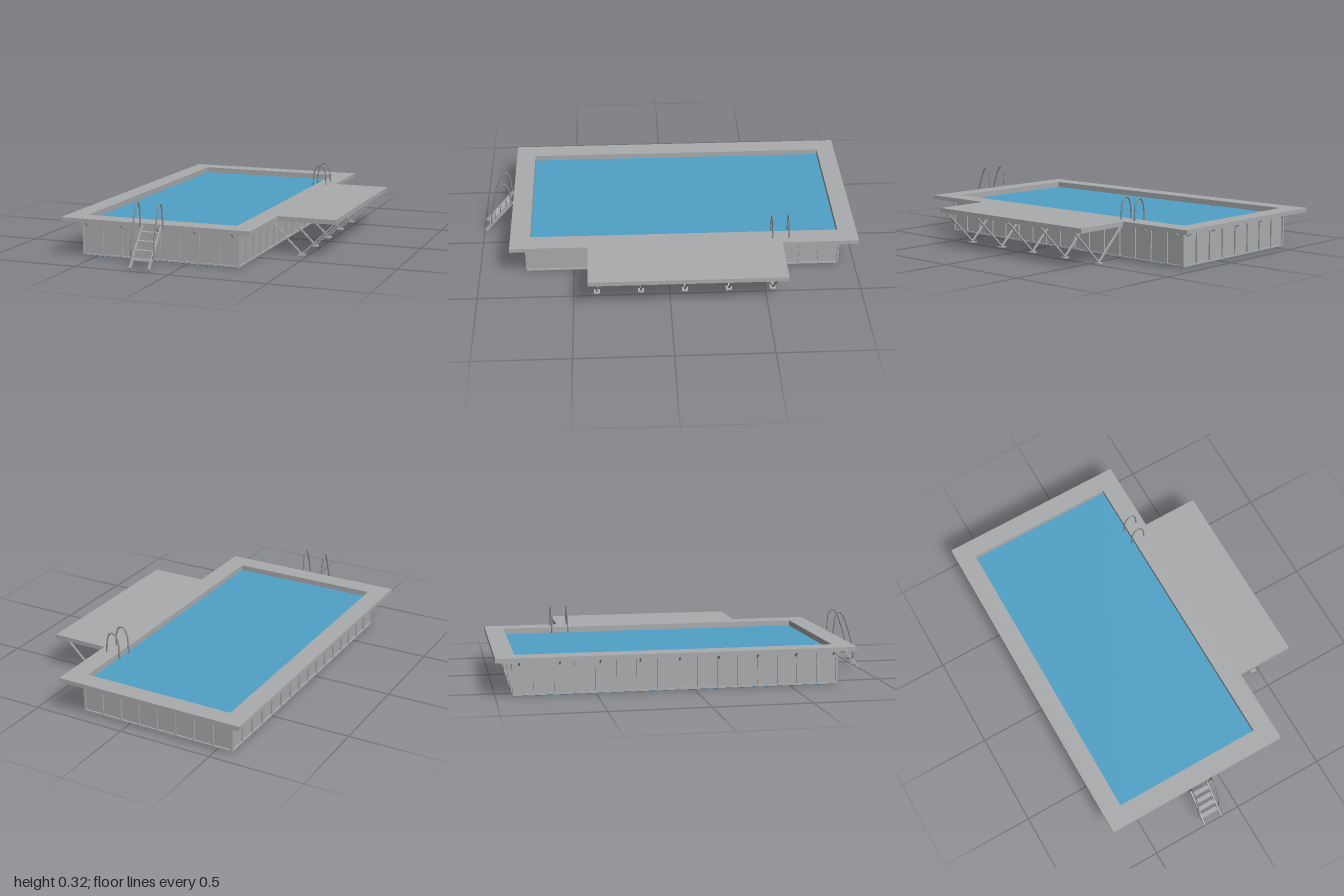
import * as THREE from 'three';

const gray = new THREE.MeshStandardMaterial({ color: 0xaaabad });
gray.name = 'light gray';
const waterBlue = new THREE.MeshStandardMaterial({ color: 0x50a1c8 });
waterBlue.name = 'water blue';
const floorBlue = new THREE.MeshStandardMaterial({ color: 0x2a6499 });
floorBlue.name = 'floor blue';
const metal = new THREE.MeshStandardMaterial({ color: 0x8c8d8f });
metal.name = 'rail metal';

// Box given by its low and high limits on each axis
function box(parent, name, x0, x1, y0, y1, z0, z1, mat = gray) {
  const m = new THREE.Mesh(new THREE.BoxGeometry(x1 - x0, y1 - y0, z1 - z0), mat);
  m.position.set((x0 + x1) / 2, (y0 + y1) / 2, (z0 + z1) / 2);
  m.name = name;
  parent.add(m);
  return m;
}

// Square bar between two points
function bar(parent, name, a, b, w, d = w, mat = gray) {
  const p = new THREE.Vector3(...a), q = new THREE.Vector3(...b);
  const dir = q.clone().sub(p);
  const m = new THREE.Mesh(new THREE.BoxGeometry(w, dir.length(), d), mat);
  m.position.copy(p).add(q).multiplyScalar(0.5);
  m.quaternion.setFromUnitVectors(new THREE.Vector3(0, 1, 0), dir.normalize());
  m.name = name;
  parent.add(m);
}

// Flat rectangular frame lying in the ground plane; limits are [x0, x1, z0, z1]
function frame(parent, name, o, i, y0, y1) {
  const rect = (C, [x0, x1, z0, z1]) => new C([[x0, -z1], [x1, -z1], [x1, -z0], [x0, -z0]]
    .map(([x, y]) => new THREE.Vector2(x, y)));
  const shape = rect(THREE.Shape, o);
  shape.holes.push(rect(THREE.Path, i));
  const g = new THREE.ExtrudeGeometry(shape, { depth: y1 - y0, bevelEnabled: false });
  g.rotateX(-Math.PI / 2).translate(0, y0, 0);
  const m = new THREE.Mesh(g, gray);
  m.name = name;
  parent.add(m);
}

function tube(parent, name, points, r = 0.004) {
  const curve = new THREE.CatmullRomCurve3(points.map(p => new THREE.Vector3(...p)));
  const m = new THREE.Mesh(new THREE.TubeGeometry(curve, 40, r, 8), metal);
  m.name = name;
  parent.add(m);
}

function group(parent, name) {
  const g = new THREE.Group();
  g.name = name;
  parent.add(g);
  return g;
}

export function createModel() {
  const model = new THREE.Group();
  model.name = 'swimmingPool';
  const X0 = -0.58, X1 = 0.272, Z0 = -0.915, Z1 = 0.755, E = 0.008;

  // Basin: walls, floor and water
  const basin = group(model, 'basin');
  const inner = [-0.56, 0.25, -0.9, 0.725];
  frame(basin, 'wall', [X0 + E, X1 - E, Z0 + E, Z1 - E], inner, 0.003, 0.196);
  frame(basin, 'bottomRail', [X0, X1, Z0, Z1], [X0 + E, X1 - E, Z0 + E, Z1 - E], 0.002, 0.01);
  box(basin, 'floor', X0 + 0.004, X1 - 0.004, 0, 0.002, Z0 + 0.004, Z1 - 0.004, floorBlue);
  box(basin, 'water', -0.56, 0.25, 0.168, 0.175, -0.9, 0.725, waterBlue);

  // Upright ribs between the wall panels
  const ribs = group(model, 'wallRibs');
  const h = 0.005;
  for (let i = 0; i <= 8; i++) {
    const x = THREE.MathUtils.lerp(X0 + h, X1 - h, i / 8);
    box(ribs, 'frontRib', x - h, x + h, 0.01, 0.196, Z1 - E, Z1);
    box(ribs, 'backRib', x - h, x + h, 0.01, 0.196, Z0, Z0 + E);
  }
  for (let i = 0; i <= 16; i++) {
    const z = THREE.MathUtils.lerp(Z0 + h, Z1 - h, i / 16);
    box(ribs, 'rightRib', X1 - E, X1, 0.01, 0.196, z - h, z + h);
    box(ribs, 'leftRib', X0, X0 + E, 0.01, 0.196, z - h, z + h);
  }

  // Walkway around the water, with a lip hanging from its outer edge
  const deck = group(model, 'walkway');
  const outer = [-0.662, 0.355, -1, 0.83];
  frame(deck, 'walkwayTop', outer, inner, 0.196, 0.205);
  frame(deck, 'walkwayLip', outer, [-0.654, 0.347, -0.992, 0.822], 0.183, 0.196);

  // Diagonal brackets holding up the walkway
  const brackets = group(model, 'walkwayBrackets');
  for (let i = 0; i < 5; i++) {
    const x = -0.55 + i * 0.198;
    bar(brackets, 'frontBracket', [x, 0.155, Z1], [x, 0.194, Z1 + 0.055], 0.007);
    bar(brackets, 'backBracket', [x, 0.155, Z0], [x, 0.194, Z0 - 0.055], 0.007);
  }
  for (let i = 0; i < 9; i++) {
    const z = -0.88 + i * 0.201;
    bar(brackets, 'leftBracket', [X0, 0.155, z], [X0 - 0.055, 0.194, z], 0.007);
    bar(brackets, 'rightBracket', [X1, 0.155, z], [X1 + 0.055, 0.194, z], 0.007);
  }

  // Side platform with lip and joists
  const side = group(model, 'sidePlatform');
  const S0 = 0.355, S1 = 0.66, P0 = -0.597, P1 = 0.422;
  box(side, 'platformTop', S0, S1, 0.196, 0.205, P0, P1);
  frame(side, 'platformLip', [S0, S1, P0, P1], [S0 + E, S1 - E, P0 + E, P1 - E], 0.181, 0.196);
  for (let i = 1; i < 14; i++) {
    const z = THREE.MathUtils.lerp(P0, P1, i / 14);
    box(side, 'joist', S0 + E, S1 - E, 0.184, 0.196, z - 0.006, z + 0.006);
  }

  // V-shaped legs under the platform
  for (let i = 0; i < 5; i++) {
    const z = -0.54 + i * 0.23;
    const leg = group(side, 'platformLeg');
    box(leg, 'crossBeam', X1, 0.652, 0.176, 0.186, z - 0.005, z + 0.005);
    bar(leg, 'innerStrut', [0.298, 0.177, z], [0.471, 0.008, z], 0.008);
    bar(leg, 'outerStrut', [0.645, 0.177, z], [0.471, 0.008, z], 0.008);
    box(leg, 'footPlate', 0.455, 0.487, 0.001, 0.007, z - 0.016, z + 0.016);
  }

  // Arched grab rails beside the water
  const grab = group(model, 'grabRails');
  for (const z of [-0.635, -0.548]) {
    tube(grab, 'grabRail', [[0.236, 0.17, z], [0.237, 0.22, z], [0.243, 0.275, z],
      [0.257, 0.307, z], [0.276, 0.316, z], [0.295, 0.307, z], [0.307, 0.275, z],
      [0.312, 0.22, z], [0.313, 0.203, z]]);
  }

  // Sloping entry ladder at the front
  const ladder = group(model, 'entryLadder');
  const cx = -0.155;
  for (const s of [-1, 1]) {
    const x = cx + s * 0.05, r = cx + s * 0.06;
    bar(ladder, 'stile', [x, 0.196, 0.834], [x, 0.011, 0.993], 0.007, 0.018);
    tube(ladder, 'handrail', [[r, 0.063, 0.957], [r, 0.12, 0.952], [r, 0.19, 0.935],
      [r, 0.25, 0.915], [r, 0.3, 0.893], [r, 0.317, 0.874], [r, 0.3, 0.855],
      [r, 0.25, 0.846], [r, 0.19, 0.842]]);
    for (const [y, z] of [[0.064, 0.955], [0.188, 0.842]]) {
      box(ladder, 'railMount', Math.min(x, r), Math.max(x, r), y - 0.004, y + 0.004, z - 0.004, z + 0.004, metal);
    }
  }
  for (let i = 0; i < 4; i++) {
    const y = 0.05 + i * 0.039, z = 0.959 - i * 0.0335;
    box(ladder, 'tread', cx - 0.05, cx + 0.05, y - 0.004, y + 0.004, z - 0.011, z + 0.011);
  }
  return model;
}
